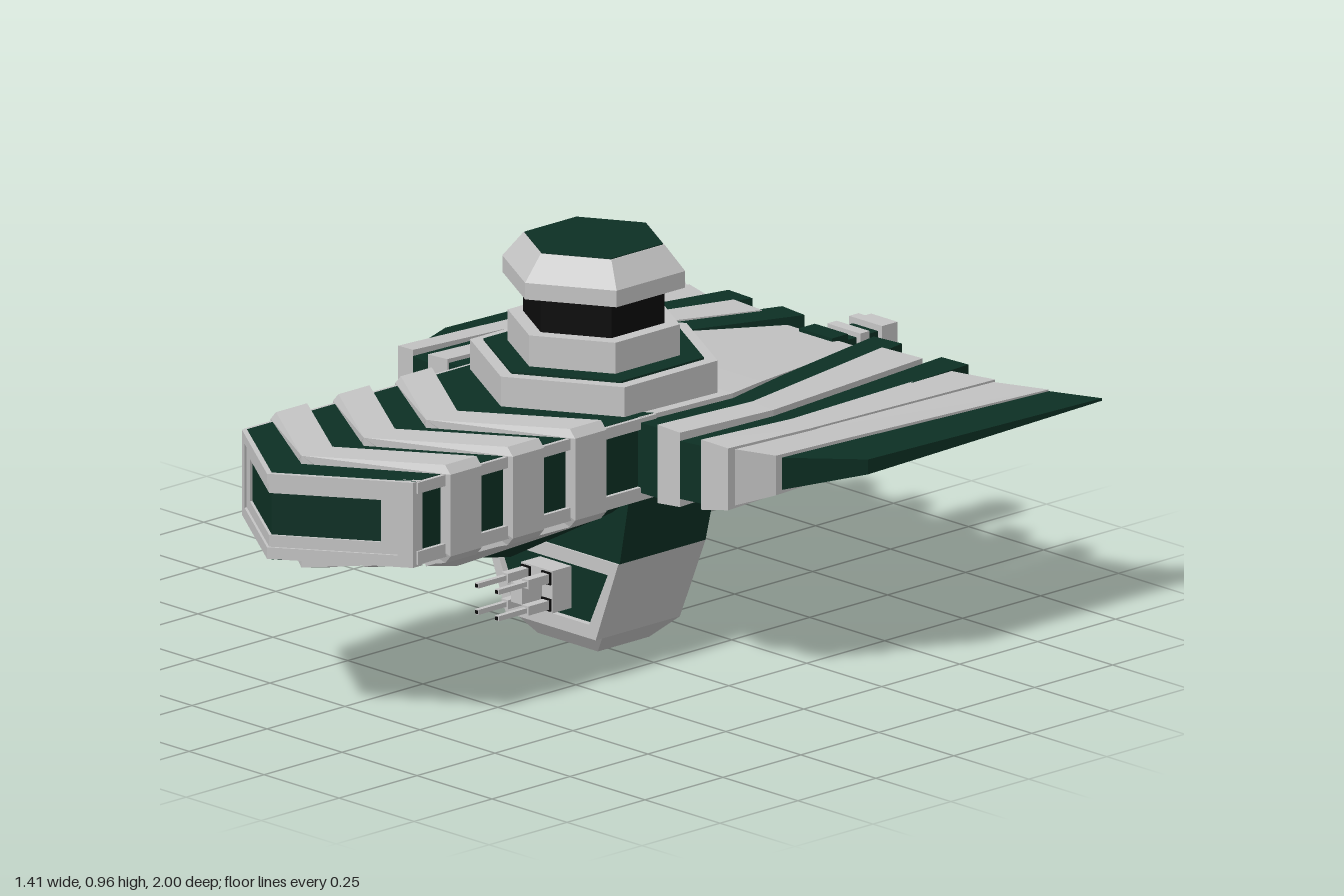
import * as THREE from 'three';

const light = new THREE.MeshStandardMaterial({ color: 0xc4c4c4 });
light.name = 'light grey';
const green = new THREE.MeshStandardMaterial({ color: 0x0d3024 });
green.name = 'dark green';
const black = new THREE.MeshStandardMaterial({ color: 0x0b0b0b });
black.name = 'black';

// Flat-faced solid through equal-length cross-sections, turned outward by its signed volume
function loft(rings) {
  const tris = [];
  const n = rings[0].length;
  for (let r = 0; r + 1 < rings.length; r++) {
    const a = rings[r], b = rings[r + 1];
    for (let i = 0; i < n; i++) {
      const j = (i + 1) % n;
      tris.push([a[i], a[j], b[j]], [a[i], b[j], b[i]]);
    }
  }
  const first = rings[0], last = rings[rings.length - 1];
  for (let i = 1; i + 1 < n; i++) {
    tris.push([first[0], first[i + 1], first[i]], [last[0], last[i], last[i + 1]]);
  }
  let volume = 0;
  for (const [a, b, c] of tris) {
    volume += a[0] * (b[1] * c[2] - b[2] * c[1]) + a[1] * (b[2] * c[0] - b[0] * c[2]) + a[2] * (b[0] * c[1] - b[1] * c[0]);
  }
  if (volume < 0) tris.forEach((t) => t.reverse());
  const geo = new THREE.BufferGeometry();
  geo.setAttribute('position', new THREE.Float32BufferAttribute(tris.flat(2), 3));
  geo.computeVertexNormals();
  return geo;
}

export function createModel() {
  const model = new THREE.Group();
  model.name = 'ship';

  const add = (name, geo, mat) => {
    const mesh = new THREE.Mesh(geo, mat);
    mesh.name = name;
    model.add(mesh);
    return mesh;
  };
  // Box given by its limits
  const box = (name, mat, x0, x1, y0, y1, z0, z1) =>
    add(name, new THREE.BoxGeometry(x1 - x0, y1 - y0, z1 - z0), mat)
      .position.set((x0 + x1) / 2, (y0 + y1) / 2, (z0 + z1) / 2);

  // Hexagonal tower
  const hex = (name, mat, rTop, rBottom, y0, y1) => {
    const geo = new THREE.CylinderGeometry(rTop, rBottom, y1 - y0, 6).toNonIndexed();
    geo.computeVertexNormals();
    add(name, geo, mat).position.set(0, (y0 + y1) / 2, -0.048);
  };
  hex('towerBase', light, 0.298, 0.298, 0.58, 0.69);
  hex('towerDeck', green, 0.265, 0.265, 0.688, 0.695);
  hex('towerDrum', light, 0.207, 0.207, 0.69, 0.77);
  hex('towerNeck', black, 0.17, 0.17, 0.77, 0.86);
  hex('towerCap', light, 0.22, 0.22, 0.86, 0.9);
  hex('towerCapBevel', light, 0.17, 0.22, 0.9, 0.96);
  hex('towerRoof', green, 0.167, 0.167, 0.957, 0.962);

  // Fore hull: arrow-shaped sections with a keel that deepens toward the rear
  const lead = 0.19;
  const keel = (z) => 0.41 - (1 - z) * 0.21;
  const hullRing = (s, grow) => {
    const w = 0.28 + grow, c = grow * 0.9, top = 0.618 + grow, bottom = 0.42 - grow;
    const side = [[w - c, top], [w, top - c - 0.002], [w, bottom + c + 0.002], [w - c, bottom]];
    const right = side.map(([x, y]) => [x, y, s]);
    const left = side.map(([x, y]) => [-x, y, s]).reverse();
    return [[0, top, s + lead], ...right, [0, keel(s + lead) - grow, s + lead], ...left];
  };
  add('foreHull', loft([hullRing(0.03, 0), hullRing(0.795, 0)]), green);
  for (const s of [0.2, 0.4, 0.6]) {
    add('hullRib', loft([hullRing(s, 0.02), hullRing(s + 0.1, 0.02)]), light);
  }
  for (const m of [-1, 1]) {
    for (const [y0, y1] of [[0.418, 0.45], [0.59, 0.617]]) {
      box('sideRail', light, m * 0.284 - 0.006, m * 0.284 + 0.006, y0, y1, 0.03, 0.795);
    }
  }

  // Prow frame, folded along the centre line
  const prowBar = (xs, y0, y1, front) =>
    add('prowFrame', loft(xs.map((x) => {
      const z = front - Math.abs(x) * 0.68;
      return [[x, y0, z - 0.03], [x, y1, z - 0.03], [x, y1, z], [x, y0, z]];
    })), light);
  prowBar([-0.285, 0, 0.285], 0.412, 0.44, 1);
  prowBar([-0.285, 0, 0.285], 0.595, 0.618, 1);
  prowBar([-0.255, 0, 0.255], 0.435, 0.468, 0.993);
  prowBar([-0.255, 0, 0.255], 0.57, 0.597, 0.993);
  for (const m of [-1, 1]) {
    prowBar([m * 0.255, m * 0.285], 0.412, 0.618, 1);
    prowBar([m * 0.218, m * 0.258], 0.435, 0.597, 0.993);
  }

  // Central rear body with a shallow keel
  const bodyRing = (w, top, side, bottom, z) =>
    [[0, top, z], [w, top, z], [w, side, z], [0, bottom, z], [-w, side, z], [-w, top, z]];
  add('rearBody', loft([
    bodyRing(0.285, 0.618, 0.42, 0.4, 0.08),
    bodyRing(0.285, 0.612, 0.42, 0.36, -0.22),
    bodyRing(0.245, 0.603, 0.422, 0.345, -0.35),
    bodyRing(0.115, 0.565, 0.44, 0.42, -0.78),
  ]), light);

  // Wing slats: stations of inner x, outer x, inner z, outer z, inner and outer half thickness
  const slats = [
    ['innerGreenSlat', green, [[0.275, 0.35, 0.08, 0.08, 0.085, 0.085], [0.275, 0.35, -0.22, -0.22, 0.078, 0.078], [0.115, 0.2, -0.835, -0.845, 0.055, 0.055]]],
    ['innerLightSlat', light, [[0.35, 0.42, 0.085, 0.08, 0.095, 0.09], [0.35, 0.42, -0.22, -0.22, 0.085, 0.08], [0.2, 0.315, -0.78, -0.8, 0.06, 0.055]]],
    ['outerGreenSlat', green, [[0.42, 0.48, 0.08, 0.07, 0.07, 0.07], [0.42, 0.48, -0.22, -0.22, 0.065, 0.065], [0.315, 0.4, -0.86, -0.865, 0.045, 0.045]]],
    ['middleLightSlat', light, [[0.48, 0.55, 0.07, 0.05, 0.085, 0.075], [0.48, 0.55, -0.22, -0.22, 0.072, 0.066], [0.4, 0.51, -0.8, -0.845, 0.045, 0.038]]],
    ['outerLightSlat', light, [[0.545, 0.605, 0.035, -0.05, 0.07, 0.048], [0.545, 0.605, -0.22, -0.22, 0.062, 0.043], [0.505, 0.61, -0.835, -0.92, 0.034, 0.02]]],
    ['wingBlade', green, [[0.6, 0.705, -0.06, -0.25, 0.04, 0.018], [0.608, 0.705, -0.92, -1, 0.016, 0.003]]],
  ];
  for (const m of [-1, 1]) {
    for (const [name, mat, stations] of slats) {
      add(name, loft(stations.map(([xi, xo, zi, zo, hi, ho]) => [
        [m * xi, 0.522 + hi, zi], [m * xo, 0.522 + ho, zo],
        [m * xo, 0.522 - ho, zo], [m * xi, 0.522 - hi, zi],
      ])), mat);
    }
    // Vents on the rear ends of the green slats
    box('slatVent', light, m * 0.158 - 0.026, m * 0.158 + 0.026, 0.492, 0.552, -0.846, -0.838);
    box('slatVent', light, m * 0.357 - 0.026, m * 0.357 + 0.026, 0.497, 0.547, -0.869, -0.861);
  }

  // Tail thruster
  const tail = [
    [green, 0.055, 0.07, -0.81, -0.76], [green, 0.042, 0.05, -0.85, -0.81], [light, 0.055, 0.062, -0.88, -0.85],
    [green, 0.042, 0.05, -0.92, -0.88], [light, 0.055, 0.065, -0.95, -0.92], [light, 0.044, 0.06, -0.98, -0.95],
  ];
  for (const [mat, w, h, z0, z1] of tail) box('tailThruster', mat, -w, w, 0.505 - h, 0.505 + h, z0, z1);

  // Gondola under the hull: flat front, pointed back
  const footprint = (y, w, front, side, back) =>
    [[w, y, front], [w, y, side], [0, y, back], [-w, y, side], [-w, y, front]];
  add('gondolaCollar', loft([footprint(0.42, 0.257, 0.085, -0.2, -0.348), footprint(0.25, 0.225, 0.085, -0.19, -0.315)]), green);
  add('gondola', loft([
    footprint(0.25, 0.225, 0.07, -0.19, -0.315),
    footprint(0.05, 0.15, 0.07, -0.18, -0.265),
    footprint(0, 0.1, 0.035, -0.13, -0.188),
  ]), light);
  const trapezoid = (shape, wTop, top, wBottom, bottom) => {
    shape.moveTo(-wBottom, bottom);
    shape.lineTo(wBottom, bottom);
    shape.lineTo(wTop, top);
    shape.lineTo(-wTop, top);
    shape.closePath();
    return shape;
  };
  const plate = (name, mat, shape, z, depth) =>
    add(name, new THREE.ExtrudeGeometry(shape, { depth, bevelEnabled: false }), mat).position.z = z;
  const frame = trapezoid(new THREE.Shape(), 0.225, 0.25, 0.15, 0.05);
  frame.holes.push(trapezoid(new THREE.Path(), 0.19, 0.217, 0.128, 0.083));
  plate('gondolaFrame', light, frame, 0.066, 0.024);
  plate('gondolaPanel', green, trapezoid(new THREE.Shape(), 0.19, 0.217, 0.128, 0.083), 0.066, 0.008);

  // Gun mount with four barrels
  box('gunMount', light, -0.052, 0.052, 0.103, 0.205, 0.07, 0.135);
  box('gunCore', light, -0.018, 0.018, 0.13, 0.178, 0.135, 0.2);
  for (const x of [-0.034, 0.034]) {
    for (const y of [0.122, 0.186]) {
      box('gunSocket', black, x - 0.015, x + 0.015, y - 0.015, y + 0.015, 0.133, 0.139);
      box('gunBreech', light, x - 0.011, x + 0.011, y - 0.011, y + 0.011, 0.135, 0.205);
      box('gunBarrel', light, x - 0.006, x + 0.006, y - 0.006, y + 0.006, 0.2, 0.295);
      box('gunMuzzle', black, x - 0.004, x + 0.004, y - 0.004, y + 0.004, 0.292, 0.297);
    }
  }
  return model;
}
